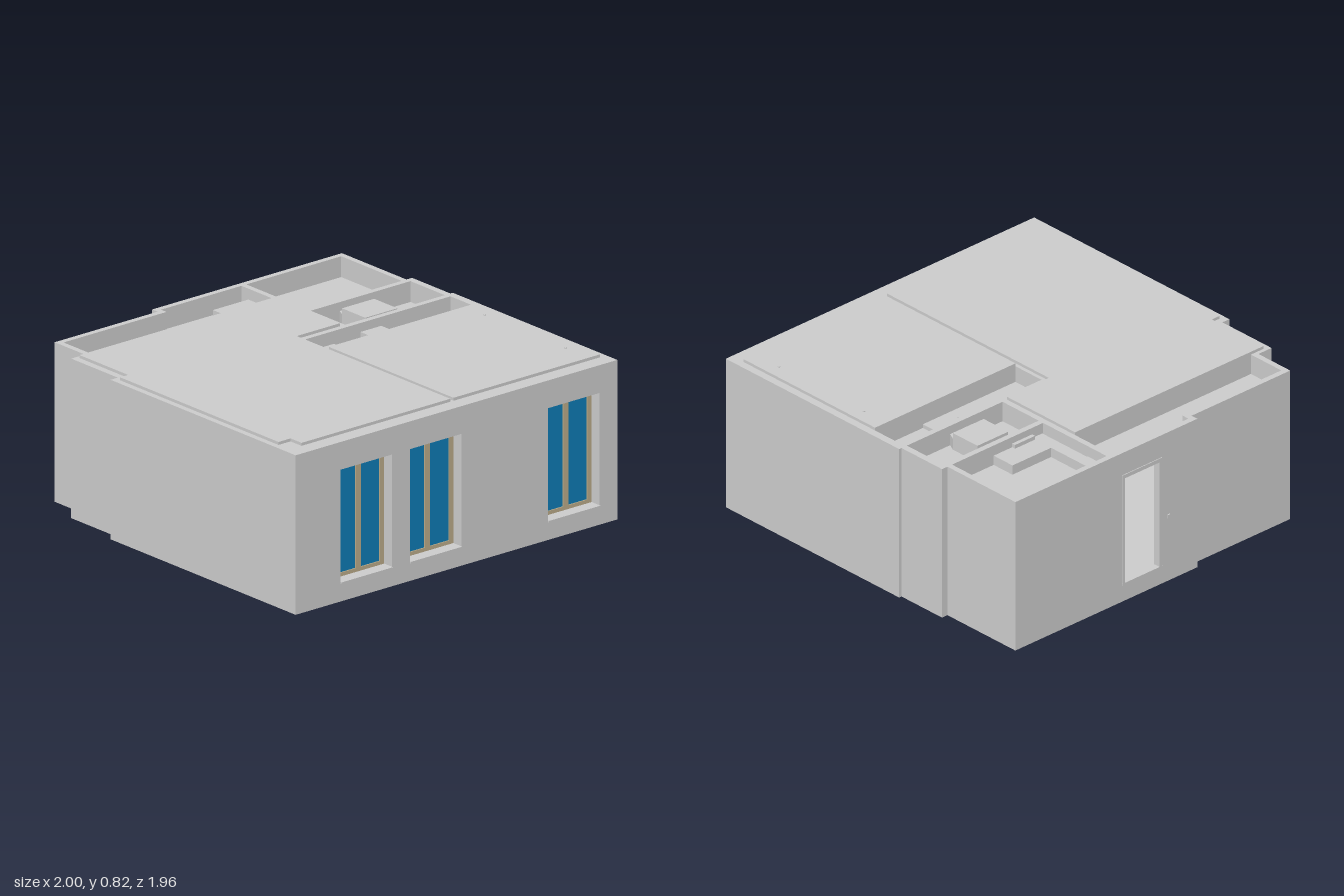
import * as THREE from 'three';

const wallMat = new THREE.MeshStandardMaterial({ color: 0xcacaca });
wallMat.name = 'pale grey';
const frameMat = new THREE.MeshStandardMaterial({ color: 0xb9a987 });
frameMat.name = 'tan';
const glassMat = new THREE.MeshStandardMaterial({ color: 0x0e7ab4 });
glassMat.name = 'window blue';

const FLOOR = 0.095, LINTEL = 0.665, CEILING = 0.70, WALL = 0.805, ROOF = 0.82;
const vec = (pts) => pts.map(([x, z]) => new THREE.Vector2(x, z));
const rect = (x0, x1, z0, z1) => [[x0, z0], [x1, z0], [x1, z1], [x0, z1]];

export function createModel() {
  const model = new THREE.Group();
  model.name = 'apartment';

  // Extrudes an (x, z) plan between two heights
  function slab(name, plan, y0, y1, mat = wallMat, holes = []) {
    const shape = new THREE.Shape(vec(plan));
    shape.holes = holes.map((h) => new THREE.Path(vec(h)));
    const geo = new THREE.ExtrudeGeometry(shape, { depth: y1 - y0, bevelEnabled: false });
    geo.rotateX(Math.PI / 2).translate(0, y1, 0);
    const mesh = new THREE.Mesh(geo, mat);
    mesh.name = name;
    model.add(mesh);
  }
  function box(name, x0, x1, y0, y1, z0, z1, mat = wallMat, parent = model) {
    const mesh = new THREE.Mesh(new THREE.BoxGeometry(x1 - x0, y1 - y0, z1 - z0), mat);
    mesh.position.set((x0 + x1) / 2, (y0 + y1) / 2, (z0 + z1) / 2);
    mesh.name = name;
    parent.add(mesh);
  }

  // Outer plan, split where the front windows are notched in
  const rightSide = [[0.95, -0.98], [0.95, -0.51], [0.985, -0.51], [0.985, -0.23], [1, -0.23], [1, 0.97]];
  const leftSide = [[-1, 0.97], [-1, -0.38], [-0.955, -0.38], [-0.955, -0.72], [-0.87, -0.72],
    [-0.87, -0.94], [-0.23, -0.94], [-0.23, -0.98]];
  const outline = [...rightSide, ...leftSide];

  // Rooms
  const hall = [[-0.2, -0.95], [-0.2, -0.91], [-0.84, -0.91], [-0.84, -0.70], [-0.92, -0.70], [-0.92, -0.345],
    [-0.97, -0.345], [-0.97, 0.81], [-0.895, 0.81], [-0.895, 0.89], [0.03, 0.89], [0.03, -0.23],
    [0.30, -0.23], [0.30, -0.95]];
  const rooms = [rect(0.33, 0.92, -0.95, -0.51), rect(0.33, 0.95, -0.48, -0.23), rect(0.05, 0.96, -0.20, 0.89)];

  // Floor, walls with door gap and window notches, then wall heads
  const windows = [[0.57, 0.89], [-0.29, 0.03], [-0.72, -0.40]];
  const door = [0.01, 0.25];
  const notches = windows.flatMap(([a, b]) => [[b, 0.97], [b, 0.90], [a, 0.90], [a, 0.97]]);
  slab('floor', outline, 0, FLOOR);
  slab('walls', [[door[1], -0.98], ...rightSide, ...notches, ...leftSide,
    [door[0], -0.98], [door[0], -0.95], ...hall, [door[1], -0.95]], FLOOR, LINTEL, wallMat, rooms);
  slab('wallHeads', outline, LINTEL, WALL, wallMat, [hall, ...rooms]);

  // Raised ceilings over the main rooms
  slab('leftCeiling', [...hall.slice(3, 13), [0.30, -0.70]], CEILING, ROOF);
  slab('rightCeiling', rect(0.05, 0.96, -0.02, 0.89), CEILING, ROOF);

  // Lowered ceilings of the service rooms
  const low = CEILING - 0.02;
  slab('entryCeiling', [...hall.slice(0, 4), [0.30, -0.70], [0.30, -0.95]], low, CEILING);
  slab('backCeiling', rooms[0], low, CEILING);
  slab('middleCeiling', rooms[1], low, CEILING);
  slab('passageCeiling', rect(0.05, 0.96, -0.20, -0.02), low, CEILING);
  slab('passageStep', rect(0.05, 0.65, -0.20, -0.02), CEILING, 0.72);

  // Ducts and ventilation unit
  slab('duct', [[0.08, -0.90], [0.40, -0.90], [0.40, -0.64], [0.65, -0.64], [0.65, -0.51],
    [0.335, -0.51], [0.335, -0.82], [0.08, -0.82]], CEILING, 0.75);
  slab('ventCollar', [[0.51, -0.48], [0.67, -0.48], [0.69, -0.44], [0.69, -0.27], [0.67, -0.23],
    [0.51, -0.23], [0.49, -0.27], [0.49, -0.44]], CEILING, 0.76);
  box('ventUnit', 0.49, 0.69, CEILING, 0.79, -0.44, -0.27);
  box('ductEnd', 0.40, 0.53, CEILING, 0.77, -0.53, -0.51);
  box('ductEnd', 0.40, 0.53, CEILING, 0.76, -0.20, -0.13);
  box('ductBox', 0.12, 0.235, CEILING, 0.74, -0.20, -0.125);
  for (const z of [0.13, 0.72]) box('ceilingPin', 0.885, 0.895, ROOF, ROOF + 0.004, z - 0.005, z + 0.005);

  // Windows: recessed tan frame, two panes and a slim sill
  for (const [a, b] of windows) {
    const g = new THREE.Group();
    g.name = 'window';
    model.add(g);
    const mid = (a + b) / 2, z0 = 0.899, z1 = 0.912;
    box('glass', a + 0.02, b - 0.02, 0.11, 0.645, z0, 0.906, glassMat, g);
    for (const [x0, x1] of [[a, a + 0.026], [mid - 0.016, mid + 0.016], [b - 0.026, b]])
      box('frameUpright', x0, x1, FLOOR, LINTEL, z0, z1, frameMat, g);
    box('frameTop', a, b, 0.637, LINTEL, z0, z1, frameMat, g);
    box('frameBottom', a, b, FLOOR, 0.117, z0, z1, frameMat, g);
    box('sill', a, b, FLOOR - 0.006, FLOOR + 0.003, 0.905, 0.977, wallMat, g);
  }

  // Entrance trim and small door bell
  box('doorHead', door[0] - 0.01, door[1] + 0.01, LINTEL, 0.685, -0.984, -0.97);
  box('doorSill', door[0] - 0.01, door[1] + 0.01, FLOOR - 0.008, FLOOR + 0.003, -0.984, -0.95);
  for (const x of door) box('doorJamb', x - 0.008, x + 0.008, FLOOR, LINTEL, -0.984, -0.945);
  box('doorBell', -0.05, -0.035, 0.34, 0.36, -0.986, -0.975);

  return model;
}
